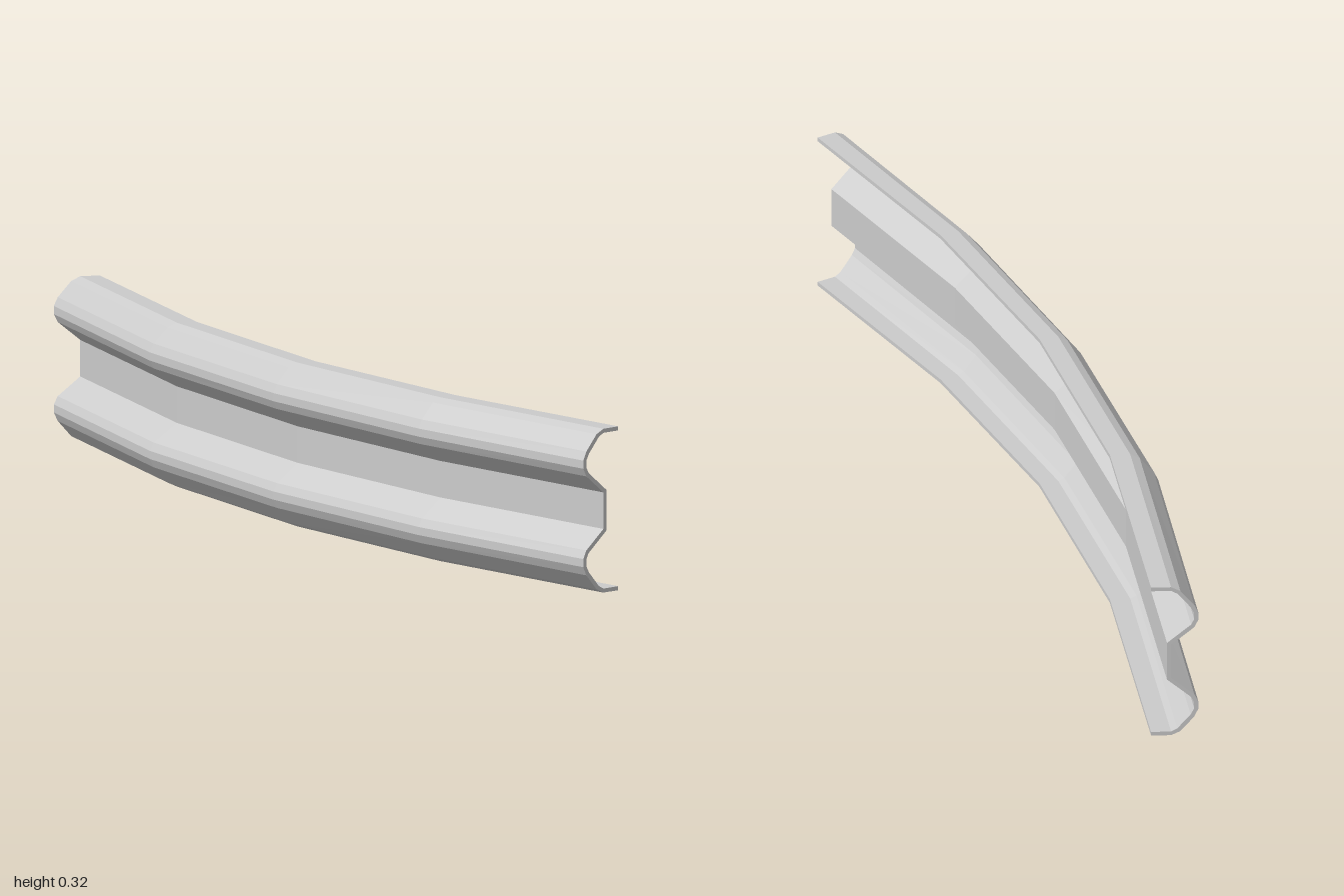
import * as THREE from 'three';

// Plan outline of the bend, station by station: crest side and flange side [x, z]
const crestSide = [[-0.322, -1], [-0.272, -0.43], [-0.154, 0.087], [0.02, 0.557], [0.24, 0.998]];
const flangeSide = [[-0.23, -1], [-0.178, -0.43], [-0.066, 0.07], [0.104, 0.522], [0.322, 0.95]];

const DEPTH = 0.092;
const HALF_HEIGHT = 0.1615;

// Upper half of the W section: [depth from crest, height from the middle]
const outerHalf = [
  [0.053, 0.036], [0.008, 0.073], [0, 0.089], [0, 0.105],
  [0.008, 0.122], [0.035, 0.153], [0.053, 0.1615], [DEPTH, 0.1615],
];
const innerHalf = [
  [DEPTH, 0.1535], [0.053, 0.1535], [0.041, 0.147], [0.015, 0.117],
  [0.008, 0.104], [0.008, 0.091], [0.014, 0.079], [0.061, 0.04],
];

const mirror = (pts) => pts.map(([u, v]) => [u, -v]).reverse();

export function createModel() {
  const group = new THREE.Group();
  group.name = 'guardRail';

  // Closed section of even sheet thickness
  const loop = [...mirror(outerHalf), ...outerHalf, ...innerHalf, ...mirror(innerHalf)];
  const section = new THREE.Shape(loop.map(([u, v]) => new THREE.Vector2(u, v)));

  // Extrude one unit per station, then bend each station onto the plan outline
  const steps = crestSide.length - 1;
  const geometry = new THREE.ExtrudeGeometry(section, { depth: steps, steps, bevelEnabled: false });
  const pos = geometry.attributes.position;
  for (let i = 0; i < pos.count; i++) {
    const k = Math.round(pos.getZ(i));
    const t = pos.getX(i) / DEPTH;
    const [a, b] = [crestSide[k], flangeSide[k]];
    pos.setXYZ(
      i,
      THREE.MathUtils.lerp(a[0], b[0], t),
      pos.getY(i) + HALF_HEIGHT,
      THREE.MathUtils.lerp(a[1], b[1], t)
    );
  }
  geometry.computeVertexNormals();

  const material = new THREE.MeshStandardMaterial({ color: 0xcccccc, flatShading: true });
  const rail = new THREE.Mesh(geometry, material);
  rail.name = 'curvedRailBeam';
  group.add(rail);
  return group;
}
